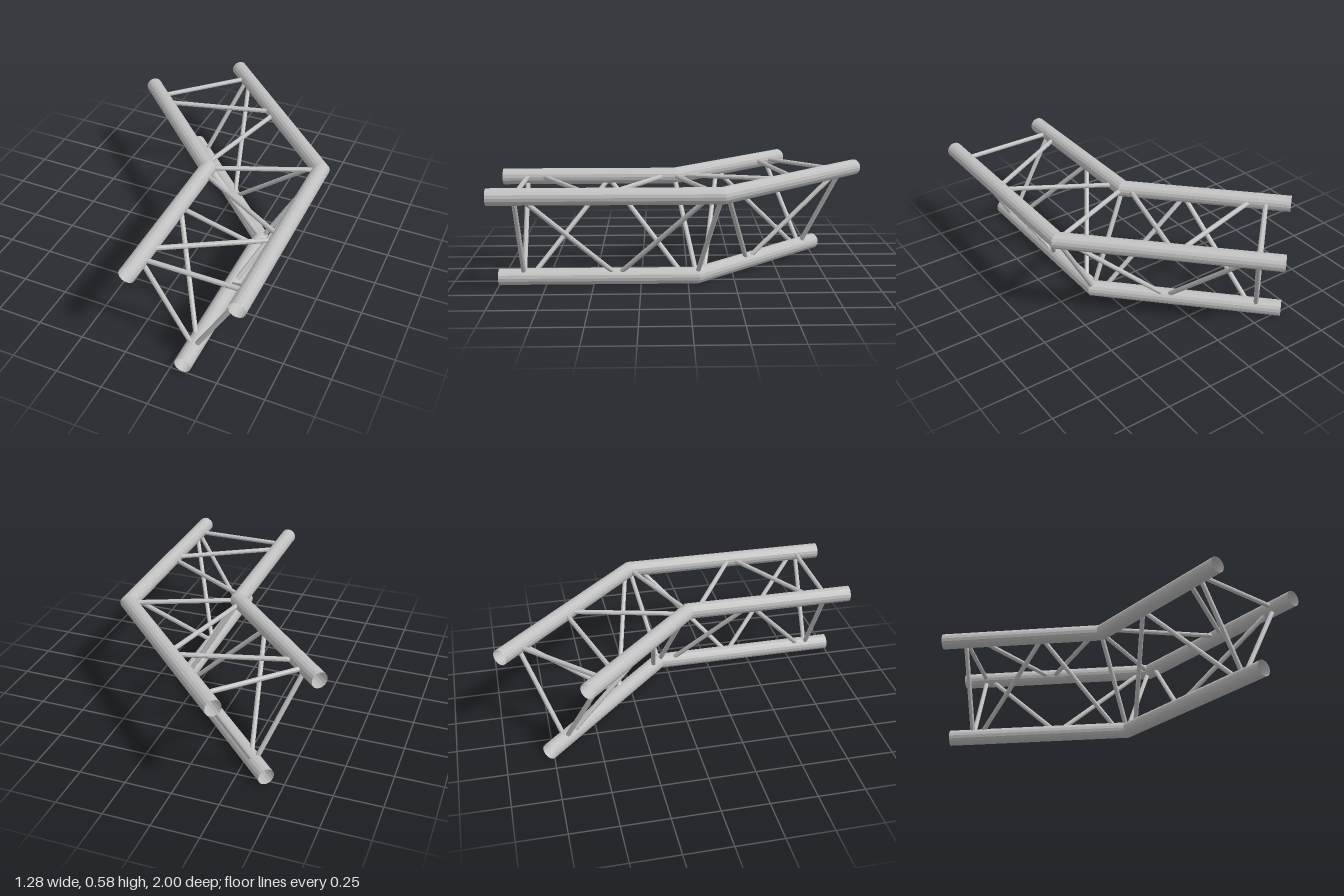
import * as THREE from 'three';

const PIPE_R = 0.044, STRUT_R = 0.013;
const TILT = Math.PI / 4; // bend of the corner, in plan
const SHORTEN = 0.015;    // the rear leg is slightly shorter

// Three chords: bend point and length of the front leg
const chords = {
  inner: { bend: new THREE.Vector3(0.037, 0.532, 0.07), length: 0.93 },
  outer: { bend: new THREE.Vector3(0.595, 0.532, -0.161), length: 1.161 },
  lower: { bend: new THREE.Vector3(0.316, 0.044, -0.045), length: 1.045 },
};

const rearDir = new THREE.Vector3(-Math.sin(TILT), 0, -Math.cos(TILT));
const rearSide = new THREE.Vector3(Math.cos(TILT), 0, -Math.sin(TILT));

// Lattice of one leg: chord, distance from bend, chord, distance from bend
const lattice = [
  ['inner', 0.797, 'outer', 1.028], ['inner', 0.797, 'lower', 0.912], ['outer', 1.028, 'lower', 0.912],
  ['inner', 0.72, 'outer', 0.627], ['inner', 0.05, 'outer', 0.61],
  ['inner', 0.345, 'lower', 0.875], ['inner', 0.365, 'lower', 0.07],
  ['outer', 1.003, 'lower', 0.415], ['outer', 0.056, 'lower', 0.427],
];

// Point on a chord axis, in the front or rear leg
function onChord(name, s, rear) {
  const p = chords[name].bend.clone();
  return rear ? p.addScaledVector(rearDir, s - SHORTEN) : p.add(new THREE.Vector3(0, 0, s));
}

// Open pipe with a mitred bend in the middle
function bentPipe({ bend, length }) {
  const geo = new THREE.CylinderGeometry(PIPE_R, PIPE_R, 2, 16, 2, true);
  geo.rotateX(Math.PI / 2);
  const pos = geo.attributes.position, v = new THREE.Vector3();
  for (let i = 0; i < pos.count; i++) {
    v.fromBufferAttribute(pos, i);
    const u = v.x, h = v.y;
    if (v.z > 0.5) v.set(u, h, length);
    else if (v.z > -0.5) v.set(u, h, -u * Math.tan(TILT / 2));
    else v.set(0, h, 0).addScaledVector(rearDir, length - SHORTEN).addScaledVector(rearSide, u);
    v.add(bend);
    pos.setXYZ(i, v.x, v.y, v.z);
  }
  geo.computeVertexNormals();
  return geo;
}

// Thin round bar between two points
function bar(a, b, material, name) {
  const d = b.clone().sub(a);
  const mesh = new THREE.Mesh(new THREE.CylinderGeometry(STRUT_R, STRUT_R, d.length(), 10), material);
  mesh.position.copy(a).add(b).multiplyScalar(0.5);
  mesh.quaternion.setFromUnitVectors(new THREE.Vector3(0, 1, 0), d.normalize());
  mesh.name = name;
  return mesh;
}

export function createModel() {
  const group = new THREE.Group();
  group.name = 'cornerTruss';
  const metal = new THREE.MeshStandardMaterial({ color: 0xc0c0c0, flatShading: true, side: THREE.DoubleSide });
  metal.name = 'aluminium';

  // Main pipes
  for (const name in chords) {
    const pipe = new THREE.Mesh(bentPipe(chords[name]), metal);
    pipe.name = name + 'Pipe';
    group.add(pipe);
  }

  // Lattice struts on both legs
  for (const rear of [false, true]) {
    const leg = new THREE.Group();
    leg.name = rear ? 'rearLattice' : 'frontLattice';
    lattice.forEach(([a, s, b, t], i) =>
      leg.add(bar(onChord(a, s, rear), onChord(b, t, rear), metal, i < 3 ? 'endBrace' : 'diagonalStrut')));
    group.add(leg);
  }

  // Braces in the mitre plane
  for (const [a, b] of [['inner', 'outer'], ['inner', 'lower'], ['outer', 'lower']])
    group.add(bar(chords[a].bend, chords[b].bend, metal, 'bendBrace'));

  return group;
}
